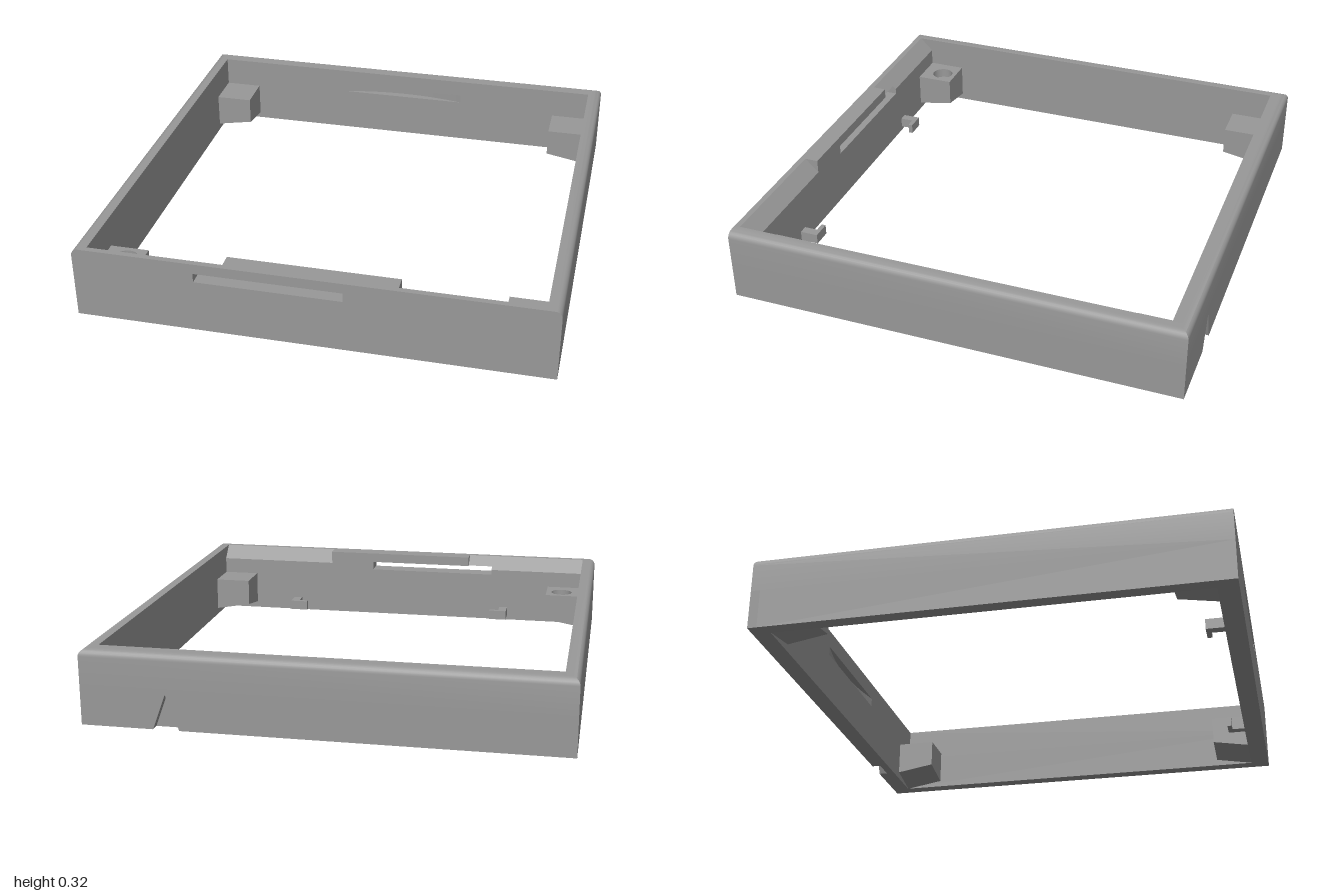
import * as THREE from 'three';
import { toCreasedNormals } from 'three/addons/utils/BufferGeometryUtils.js';

const H = 0.32;      // frame height
const D = 0.985;     // half depth
const IN = 0.94;     // inner half width
const SPLIT = 0.17;  // height where the rounded rim begins

export function createModel() {
  const model = new THREE.Group();
  const grey = new THREE.MeshStandardMaterial({ color: 0x999999 });
  grey.name = 'grey plastic';

  const add = (name, geometry) => {
    const mesh = new THREE.Mesh(geometry, grey);
    mesh.name = name;
    model.add(mesh);
    return mesh;
  };
  const box = (name, x0, x1, y0, y1, z0, z1) => {
    const g = new THREE.BoxGeometry(x1 - x0, y1 - y0, z1 - z0);
    g.translate((x0 + x1) / 2, (y0 + y1) / 2, (z0 + z1) / 2);
    return add(name, g);
  };
  const polygon = (pts) => new THREE.Shape(pts.map(([a, b]) => new THREE.Vector2(a, b)));
  const extrude = (shape, depth) =>
    new THREE.ExtrudeGeometry(shape, { depth, bevelEnabled: false, curveSegments: 24 });

  // Bar along x with a (z, y) cross-section
  const bar = (name, x0, x1, section) => {
    const g = extrude(polygon(section.map(([z, y]) => [-z, y])), x1 - x0);
    g.rotateY(Math.PI / 2);
    g.translate(x0, 0, 0);
    add(name, g);
  };
  // Horizontal slab with an (x, z) outline
  const slab = (name, shape, y0, y1) => {
    const g = extrude(shape, y1 - y0);
    g.rotateX(Math.PI / 2);
    g.translate(0, y1, 0);
    add(name, g);
  };

  add('roundedRim', rimGeometry());

  // Lower side walls
  for (const s of [-1, 1]) {
    box('sideWall', Math.min(s, s * IN), Math.max(s, s * IN), 0, SPLIT, -D + 0.04, D);
  }

  // Lower back wall with the cable notch
  const back = polygon([[-1, 0], [0.585, 0], [0.64, 0.15], [0.695, 0], [1, 0], [1, SPLIT], [-1, SPLIT]]);
  const backGeometry = extrude(back, 0.04);
  backGeometry.translate(0, 0, -D);
  add('backWall', backGeometry);

  // Back wall lining with a shallow curved recess
  const z0 = -D + 0.04, z1 = -0.907;
  box('backLiningLower', -IN, IN, 0, 0.205, z0, z1);
  box('backLiningUpper', -IN, IN, 0.245, H, z0, z1);
  const recess = polygon([[-IN, z0], [IN, z0], [IN, z1], [0.3, z1]]);
  recess.quadraticCurveTo(0, z1 - 0.07, -0.3, z1);
  recess.lineTo(-IN, z1);
  slab('backLiningRecess', recess, 0.205, 0.245);

  // Front wall: sloped inner edge at both ends, full height in the middle, slot cut through
  const slope = [[0.9, 0], [D, 0], [D, H], [0.96, H], [0.9, 0.26]];
  const rect = (y0, y1) => [[0.9, y0], [D, y0], [D, y1], [0.9, y1]];
  bar('frontWallRight', -IN, -0.48, slope);
  bar('frontWallBelowSlot', -0.48, 0.14, rect(0, 0.235));
  bar('frontWallAboveSlotEnd', -0.48, -0.36, [[0.915, 0.275], [D, 0.275], [D, H], [0.96, H]]);
  bar('frontWallAboveSlot', -0.36, 0.14, rect(0.275, H));
  bar('frontWallMiddle', 0.14, 0.36, rect(0, H));
  bar('frontWallLeft', 0.36, IN, slope);

  // Corner blocks with undersides sloping down to the walls
  for (const sx of [-1, 1]) for (const sz of [-1, 1]) {
    const drilled = sx < 0 && sz > 0;
    const top = drilled ? 0.14 : 0.185;
    const g = new THREE.BoxGeometry(0.17, top, 0.175);
    g.translate(sx * 0.855, top / 2, sz * 0.8175);
    const p = g.attributes.position;
    for (let i = 0; i < p.count; i++) {
      if (p.getY(i) > 0.01) continue;
      const freeX = Math.abs(p.getX(i)) < 0.855, freeZ = Math.abs(p.getZ(i)) < 0.8175;
      p.setY(i, 0.03 * (Number(freeX) + Number(freeZ)));
    }
    const flat = g.toNonIndexed();
    flat.computeVertexNormals();
    add('cornerBlock', flat);
    if (drilled) {
      // Top layer with a blind round hole
      const cap = polygon([[-0.94, 0.73], [-0.77, 0.73], [-0.77, 0.905], [-0.94, 0.905]]);
      const hole = new THREE.Path();
      hole.absarc(-0.845, 0.8, 0.05, 0, Math.PI * 2, true);
      cap.holes.push(hole);
      slab('cornerBlockCap', cap, 0.14, 0.185);
    }
  }

  // Small L-shaped hooks inside the front wall
  for (const s of [-1, 1]) {
    const hook = polygon([[0.525, 0.905], [0.565, 0.905], [0.565, 0.82], [0.48, 0.82], [0.48, 0.84], [0.525, 0.84]]
      .map(([x, z]) => [s * x, z]));
    slab('hook', hook, 0.02, 0.065);
  }

  return model;
}

// U-shaped rim with mitred back corners and a rounded outer top edge
function rimGeometry() {
  const r = 0.03;
  // Profile: inset from the side, inset from the back, height
  const profile = [[0, 0, SPLIT]];
  for (let i = 0; i <= 6; i++) {
    const a = (i / 6) * Math.PI / 2;
    const d = r * (1 - Math.cos(a));
    profile.push([d, d, H - r + r * Math.sin(a)]);
  }
  profile.push([0.06, 0.04, H], [0.06, 0.04, SPLIT]);

  const stations = [
    ([dx, , y]) => [1 - dx, y, D],
    ([dx, dz, y]) => [1 - dx, y, -D + dz],
    ([dx, dz, y]) => [-1 + dx, y, -D + dz],
    ([dx, , y]) => [-1 + dx, y, D],
  ].map((place) => profile.map(place));

  const pos = [];
  const tri = (a, b, c) => pos.push(...a, ...b, ...c);
  for (let i = 0; i < 3; i++) {
    const p = stations[i], q = stations[i + 1];
    for (let j = 0; j < profile.length - 1; j++) {
      tri(p[j], q[j], p[j + 1]);
      tri(q[j], q[j + 1], p[j + 1]);
    }
  }
  // Front end caps
  const first = stations[0], last = stations[3];
  for (let j = 1; j < profile.length - 1; j++) {
    tri(first[0], first[j], first[j + 1]);
    tri(last[0], last[j + 1], last[j]);
  }
  const g = new THREE.BufferGeometry();
  g.setAttribute('position', new THREE.Float32BufferAttribute(pos, 3));
  return toCreasedNormals(g, 0.6);
}
